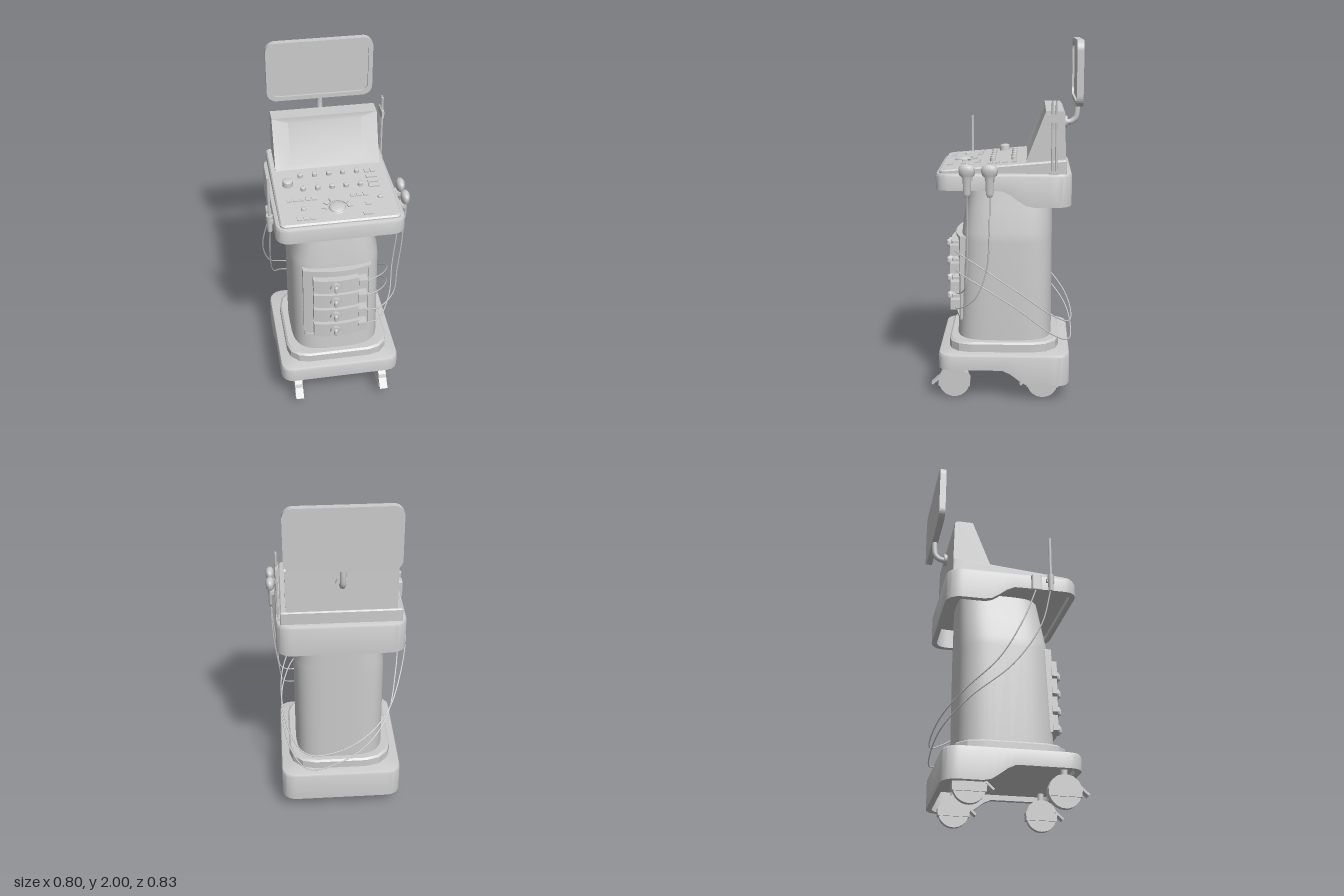
import * as THREE from 'three';
import { toCreasedNormals } from 'three/addons/utils/BufferGeometryUtils.js';
import { RoundedBoxGeometry } from 'three/addons/geometries/RoundedBoxGeometry.js';

const mat = new THREE.MeshStandardMaterial({ color: 0xcccccc });
const V = (x, y, z) => new THREE.Vector3(x, y, z);

function add(parent, name, geo, x = 0, y = 0, z = 0) {
  const m = new THREE.Mesh(geo, mat);
  m.name = name;
  m.position.set(x, y, z);
  parent.add(m);
  return m;
}
const box = (w, h, d) => new THREE.BoxGeometry(w, h, d);
const cyl = (r1, r2, h, n = 16) => new THREE.CylinderGeometry(r1, r2, h, n);
const tube = (pts, r, seg = 48, sides = 6) =>
  new THREE.TubeGeometry(new THREE.CatmullRomCurve3(pts.map(p => V(...p))), seg, r, sides);

// Box that follows the bulging front of the column
const bulge = x => -0.9 * x * x;
function bentBox(w, h, d, x, y, z) {
  const g = new THREE.BoxGeometry(w, h, d, 12, 1, 1).translate(x, y, z), p = g.attributes.position;
  for (let i = 0; i < p.count; i++) p.setZ(i, p.getZ(i) + bulge(p.getX(i)));
  g.computeVertexNormals();
  return g;
}

// Skin equal-length rings of points and close both ends
function loft(rings, crease = 0.6) {
  const n = rings[0].length, pos = [], idx = [];
  rings.forEach(r => r.forEach(p => pos.push(p.x, p.y, p.z)));
  for (let k = 0; k < rings.length - 1; k++)
    for (let i = 0; i < n; i++) {
      const a = k * n + i, b = k * n + (i + 1) % n;
      idx.push(a, b, b + n, a, b + n, a + n);
    }
  [rings[0], rings[rings.length - 1]].forEach((ring, end) => {
    const c = pos.length / 3, base = end ? (rings.length - 1) * n : 0;
    const mid = ring.reduce((s, p) => s.add(p), V(0, 0, 0)).divideScalar(n);
    pos.push(mid.x, mid.y, mid.z);
    for (let i = 0; i < n; i++) {
      const a = base + i, b = base + (i + 1) % n;
      idx.push(c, ...(end ? [a, b] : [b, a]));
    }
  });
  const g = new THREE.BufferGeometry();
  g.setAttribute('position', new THREE.Float32BufferAttribute(pos, 3));
  g.setIndex(idx);
  return toCreasedNormals(g, crease);
}

// Rounded rectangle seen from above; height may depend on z
function ring(hx, zBack, zFront, rF, rB, yOf, seg = 4, steps = 14) {
  const pts = [];
  const put = (x, z) => pts.push(V(x, typeof yOf === 'function' ? yOf(z) : yOf, z));
  const corner = (cx, cz, r, a0) => {
    for (let i = 0; i <= seg; i++) {
      const a = a0 + i / seg * Math.PI / 2;
      put(cx + r * Math.sin(a), cz + r * Math.cos(a));
    }
  };
  const side = (x, z0, z1) => { for (let i = 1; i < steps; i++) put(x, z0 + (z1 - z0) * i / steps); };
  corner(hx - rF, zFront - rF, rF, 0);
  side(hx, zFront - rF, zBack + rB);
  corner(hx - rB, zBack + rB, rB, Math.PI / 2);
  corner(-hx + rB, zBack + rB, rB, Math.PI);
  side(-hx, zBack + rB, zFront - rF);
  corner(-hx + rF, zFront - rF, rF, Math.PI * 1.5);
  return pts;
}

// Soft-cornered column section (superellipse)
function softRing(hx, zBack, zFront, y, n = 56) {
  const pw = v => Math.sign(v) * Math.abs(v) ** (2 / 3.6);
  return Array.from({ length: n }, (_, i) => {
    const a = i / n * Math.PI * 2;
    return V(hx * pw(Math.sin(a)), y, (zFront + zBack) / 2 + (zFront - zBack) / 2 * pw(Math.cos(a)));
  });
}

// Hollow tray whose skirt drops lower at the back
function skirtTray(y) {
  const skirt = z => y + 0.09 * THREE.MathUtils.smoothstep(z, -0.15, 0.02);
  const r = (d, yy) => ring(0.35 - d, -0.365 + d, 0.37 - d, 0.07 - d / 2, 0.08 - d / 2, yy);
  return loft([r(0.03, y + 0.12), r(0.03, skirt), r(0, skirt), r(0, y + 0.165), r(0.005, y + 0.176), r(0.015, y + 0.18)]);
}

function roundedShape(w, h, r, T = THREE.Shape) {
  const s = new T(), x = w / 2 - r, y = h / 2 - r, q = Math.PI / 2;
  s.absarc(x, y, r, 0, q).absarc(-x, y, r, q, 2 * q).absarc(-x, -y, r, 2 * q, 3 * q).absarc(x, -y, r, 3 * q, 4 * q);
  return s;
}
const slab = (shape, depth) => new THREE.ExtrudeGeometry(shape, { depth, bevelEnabled: false, curveSegments: 4 });

function caster(x, z) {
  const g = new THREE.Group();
  g.name = 'caster';
  add(g, 'wheel', cyl(0.086, 0.086, 0.032, 28), 0, 0.087, 0).rotation.z = Math.PI / 2;
  const hood = new THREE.Shape();
  hood.absarc(0, 0, 0.092, -0.3, Math.PI + 0.3);
  add(g, 'wheelHood', slab(hood, 0.046).translate(0, 0, -0.023), 0, 0.09, 0).rotation.y = Math.PI / 2;
  add(g, 'casterStem', cyl(0.018, 0.018, 0.07), 0, 0.195, 0);
  add(g, 'brakeLever', box(0.047, 0.012, 0.065), 0, 0.098, 0.102).rotation.x = 0.75;
  g.position.set(x, 0, z);
  return g;
}

function handProbe(parent, z) {
  const prof = [[0, 1.18], [0.007, 1.18], [0.011, 1.2], [0.013, 1.285], [0.022, 1.298], [0.025, 1.325], [0.022, 1.345], [0.012, 1.355], [0, 1.358]];
  const m = add(parent, 'handProbe', new THREE.LatheGeometry(prof.map(p => new THREE.Vector2(...p)), 10), 0.375, 0, z);
  m.scale.z = 1.8;
  add(parent, 'probeHolder', box(0.05, 0.02, 0.055), 0.35, 1.275, z);
}

export function createModel() {
  const root = new THREE.Group();
  root.name = 'ultrasoundCart';

  // Base, plinth, column and upper tray
  add(root, 'base', skirtTray(0.10));
  add(root, 'plinth', loft([
    ring(0.3, -0.305, 0.315, 0.12, 0.15, 0.27, 3), ring(0.3, -0.305, 0.315, 0.12, 0.15, 0.325, 3),
    ring(0.29, -0.295, 0.305, 0.12, 0.15, 0.335, 3)], 0.4));
  add(root, 'column', loft([[0.3, 0.257, 0.275], [0.9, 0.257, 0.246], [0.95, 0.252, 0.242],
    [1.08, 0.222, 0.222], [1.23, 0.193, 0.197]].map(([y, hx, zf]) => softRing(hx, -0.265, zf, y)), 0.7));
  add(root, 'upperTray', skirtTray(1.12));
  for (const x of [-0.254, 0.254]) for (const z of [0.285, -0.215]) root.add(caster(x, z));

  // Plug-in module bay wrapped round the column front
  add(root, 'bayBack', bentBox(0.38, 0.475, 0.03, -0.005, 0.677, 0.257));
  for (const y of [0.442, 0.912]) add(root, 'bayRail', bentBox(0.39, 0.016, 0.05, -0.005, y, 0.258));
  for (const x of [-0.192, 0.182]) add(root, 'bayPost', bentBox(0.016, 0.485, 0.05, x, 0.677, 0.258));
  for (const y of [0.83, 0.725, 0.618, 0.51]) {
    add(root, 'module', bentBox(0.257, 0.088, 0.05, -0.018, y, 0.286));
    add(root, 'moduleDial', cyl(0.032, 0.032, 0.02, 8), -0.025, y, 0.318).rotation.x = Math.PI / 2;
    add(root, 'moduleKnob', new THREE.CapsuleGeometry(0.012, 0.02, 3, 8), -0.025, y, 0.333);
    add(root, 'connector', box(0.05, 0.058, 0.06), 0.134, y, 0.28);
  }

  // Sloping control panel
  const py = z => 1.345 - 0.086 * z;
  const tilt = Math.atan(0.086);
  add(root, 'controlPanel', loft([
    ring(0.325, -0.335, 0.35, 0.03, 0.01, 1.29), ring(0.325, -0.335, 0.35, 0.03, 0.01, z => py(z) - 0.008),
    ring(0.318, -0.33, 0.343, 0.03, 0.01, py)], 0.5));
  const onPanel = (name, geo, x, z, lift = 0) => {
    const m = add(root, name, geo, x, py(z) + lift, z);
    m.rotation.x = tilt;
    return m;
  };
  const knob = (x, z, r, h) => {
    onPanel('knob', cyl(r * 0.92, r, h), x, z, h / 2);
    onPanel('knobCap', new THREE.SphereGeometry(r * 0.92, 16, 5, 0, Math.PI * 2, 0, Math.PI / 2), x, z, h).scale.y = 0.3;
  };
  for (const x of [-0.165, -0.085, -0.005, 0.073, 0.152]) for (const z of [-0.05, 0.067]) knob(x, z, 0.015, 0.018);
  knob(-0.243, 0.012, 0.03, 0.027);
  knob(-0.185, 0.228, 0.015, 0.008);
  knob(0.24, 0.182, 0.015, 0.008);
  knob(-0.005, 0.24, 0.049, 0.004);
  const key = (x, z, w = 0.027) => onPanel('key', box(w, 0.012, 0.028), x, z, 0.001);
  [-0.252, -0.218, -0.184, -0.15, -0.116, 0.095, 0.13, 0.165].forEach(x => key(x, 0.148));
  [-0.218, -0.182, -0.148].forEach(x => key(x, 0.305));
  key(0.15, 0.305, 0.05);
  key(0.165, 0.228);
  [0.209, 0.243].forEach(x => key(x, -0.05));
  [-0.002, 0.04, 0.08].forEach(z => key(0.226, z, 0.06));
  for (let i = 0; i < 6; i++) {
    const a = (i / 5 - 0.5) * 2.7;
    key(-0.005 + 0.071 * Math.sin(a), 0.245 - 0.073 * Math.cos(a)).rotation.set(tilt, -a, 0);
  }

  // Screen housing with a shallow recessed display
  const face = (hx, yb, zb, yt, zt) => [V(-hx, yb, zb), V(hx, yb, zb), V(hx, yt, zt), V(-hx, yt, zt)];
  add(root, 'screenHousing', loft([
    face(0.295, 1.32, -0.33, 1.615, -0.325), face(0.295, 1.32, -0.322, 1.63, -0.312),
    face(0.295, 1.33, -0.105, 1.63, -0.222), face(0.205, 1.385, -0.138, 1.6, -0.22)], 0.3));

  // Monitor on its bent arm
  add(root, 'monitorBody', slab(roundedShape(0.6, 0.35, 0.055), 0.024), 0, 1.825, -0.418);
  const bezel = roundedShape(0.6, 0.35, 0.055);
  bezel.holes.push(roundedShape(0.55, 0.3, 0.045, THREE.Path));
  add(root, 'monitorBezel', slab(bezel, 0.012), 0, 1.825, -0.394);
  add(root, 'armFlange', cyl(0.034, 0.034, 0.02, 20), 0, 1.54, -0.335).rotation.x = Math.PI / 2;
  add(root, 'monitorArm', tube([[0, 1.54, -0.33], [0, 1.542, -0.365], [0, 1.565, -0.392], [0, 1.61, -0.4], [0, 1.655, -0.4]], 0.016, 24, 12));

  // Hand probes on the left
  for (const z of [0.075, 0.195]) handProbe(root, z);

  // Rod with clip at the rear left
  for (const z of [-0.256, -0.277]) add(root, 'rearRod', cyl(0.006, 0.006, 0.39, 8), 0.335, 1.495, z);
  add(root, 'rodClip', box(0.014, 0.045, 0.085), 0.333, 1.595, -0.268);
  add(root, 'rodFoot', box(0.02, 0.03, 0.05), 0.333, 1.3, -0.266);

  // Pencil probe and short probe on the right
  add(root, 'pencilProbe', cyl(0.008, 0.008, 0.26, 10), -0.368, 1.405, 0.21);
  add(root, 'pencilHolder', cyl(0.019, 0.014, 0.1, 12), -0.368, 1.245, 0.21);
  add(root, 'pencilBracket', box(0.03, 0.02, 0.045), -0.352, 1.265, 0.21);
  add(root, 'shortProbe', new RoundedBoxGeometry(0.03, 0.1, 0.055, 2, 0.008), -0.366, 1.24, 0.128);

  // Cables: two wrap round the back, two rise to the hand probes
  const paths = [
    [[0.15, 0.83, 0.285], [0.24, 0.825, 0.24], [0.32, 0.745, 0.08], [0.335, 0.64, -0.08], [0.29, 0.5, -0.26], [0.2, 0.435, -0.36],
      [0.05, 0.45, -0.378], [-0.13, 0.52, -0.34], [-0.27, 0.62, -0.24], [-0.36, 0.77, -0.08], [-0.4, 0.98, 0.04], [-0.37, 1.21, 0.13]],
    [[0.15, 0.725, 0.285], [0.24, 0.715, 0.24], [0.32, 0.64, 0.08], [0.335, 0.54, -0.08], [0.29, 0.39, -0.26], [0.2, 0.325, -0.36],
      [0.05, 0.36, -0.378], [-0.13, 0.45, -0.34], [-0.27, 0.57, -0.22], [-0.345, 0.75, 0], [-0.37, 0.98, 0.15], [-0.368, 1.21, 0.21]],
    [[0.15, 0.618, 0.285], [0.24, 0.605, 0.265], [0.33, 0.66, 0.215], [0.35, 0.82, 0.2], [0.37, 1.03, 0.197], [0.375, 1.2, 0.195]],
    [[0.15, 0.51, 0.285], [0.24, 0.515, 0.26], [0.32, 0.6, 0.16], [0.345, 0.77, 0.095], [0.37, 1.0, 0.078], [0.375, 1.2, 0.075]]];
  paths.forEach(p => add(root, 'cable', tube(p, 0.004, 70, 6)));
  return root;
}
